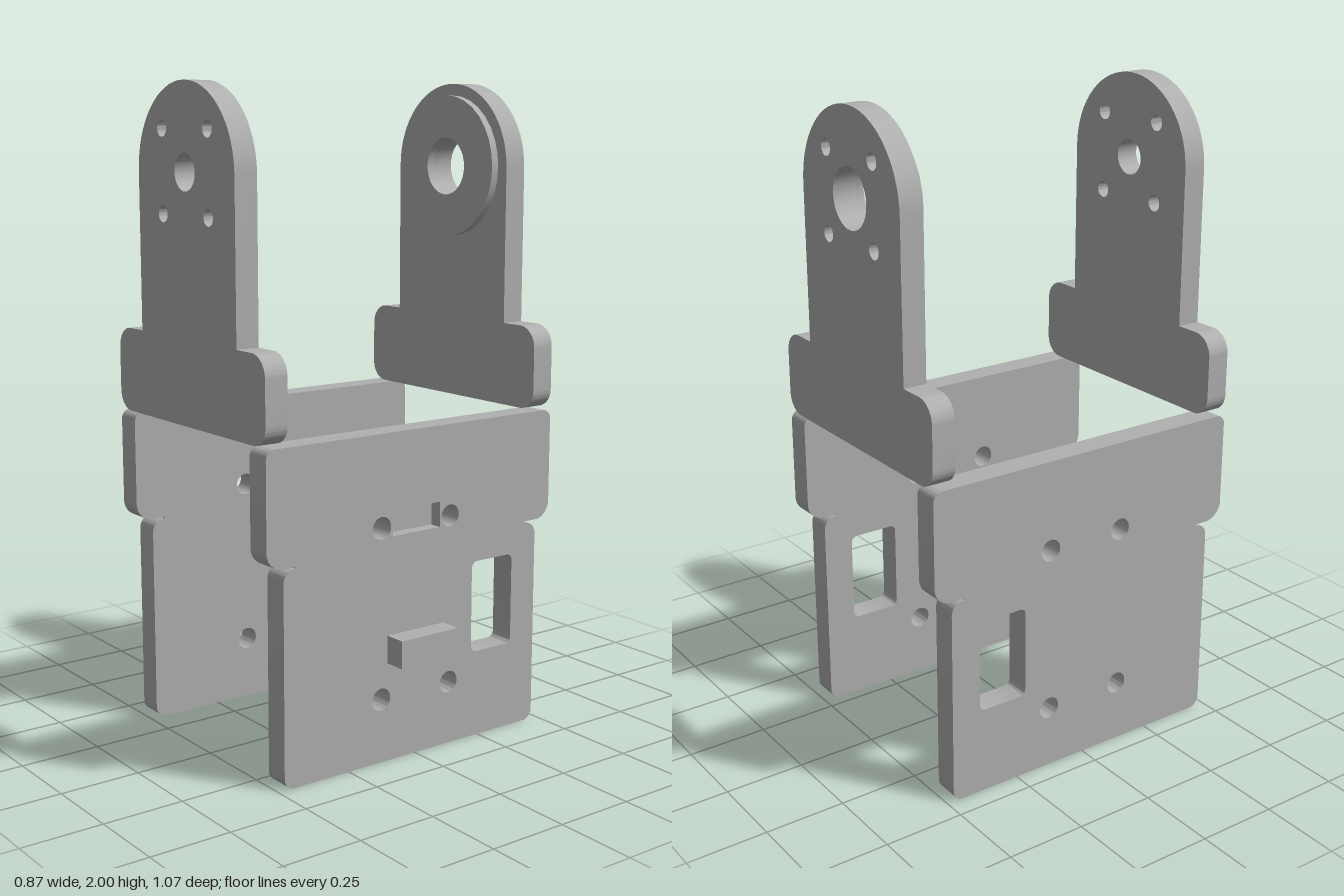
import * as THREE from 'three';
import { toCreasedNormals } from 'three/addons/utils/BufferGeometryUtils.js';

const CENTRE_X = -0.034;
const AXLE_Y = 1.742;

// Traces right-angled corners given as [x, y, radius] with rounded arcs.
function roundedOutline(path, corners) {
  const K = 0.5523;
  const n = corners.length;
  corners.forEach(([x, y, r], i) => {
    const p = new THREE.Vector2(x, y);
    const towards = (c) => new THREE.Vector2(c[0], c[1]).sub(p).normalize();
    const prev = towards(corners[(i + n - 1) % n]);
    const next = towards(corners[(i + 1) % n]);
    const a = p.clone().addScaledVector(prev, r);
    const b = p.clone().addScaledVector(next, r);
    if (i === 0) path.moveTo(a.x, a.y);
    else path.lineTo(a.x, a.y);
    if (r > 0) {
      const c1 = a.clone().lerp(p, K);
      const c2 = b.clone().lerp(p, K);
      path.bezierCurveTo(c1.x, c1.y, c2.x, c2.y, b.x, b.y);
    }
  });
  path.closePath();
  return path;
}

const rect = (x0, y0, x1, y1, r) =>
  roundedOutline(new THREE.Path(), [[x0, y0, r], [x1, y0, r], [x1, y1, r], [x0, y1, r]]);

const circle = (x, y, r) => new THREE.Path().absarc(x, y, r, 0, Math.PI * 2, true);

function extrude(shape, depth) {
  const geo = new THREE.ExtrudeGeometry(shape, { depth, bevelEnabled: false, curveSegments: 16 });
  return toCreasedNormals(geo, 0.6);
}

// Side plate outline; local x runs towards the back once turned.
function sidePlateShape() {
  const half = [
    [0.479, 0, 0.035], [0.479, 0.655, 0.04], [0.43, 0.655, 0],
    [0.535, 0.655, 0.055], [0.535, 1, 0.03],
  ];
  // The neck: the lower panel's rounded shoulder tucks under the wider band
  const right = [half[0], [0.479, 0.65, 0.04], [0.435, 0.65, 0], [0.435, 0.655, 0], half[3], half[4]];
  const left = right.map(([x, y, r]) => [-x, y, r]).reverse();
  const shape = roundedOutline(new THREE.Shape(), [...right, ...left]);
  for (const x of [-0.13, 0.13]) {
    for (const y of [0.197, 0.72]) shape.holes.push(circle(x, y, 0.034));
  }
  shape.holes.push(rect(0.22, 0.272, 0.383, 0.56, 0.02));
  return shape;
}

// Upright plate outline: wide foot, round-topped arm, axle and screw holes.
function uprightShape(axleRadius) {
  const right = [[0.4, 1.004, 0.06], [0.4, 1.262, 0.065], [0.26, 1.262, 0], [0.26, 2, 0.2599]];
  const left = right.map(([x, y, r]) => [-x, y, r]).reverse();
  const shape = roundedOutline(new THREE.Shape(), [...right, ...left]);
  shape.holes.push(circle(0, AXLE_Y, axleRadius));
  for (const sx of [-1, 1]) {
    for (const sy of [-1, 1]) shape.holes.push(circle(sx * 0.123, AXLE_Y + sy * 0.123, 0.025));
  }
  return shape;
}

export function createModel() {
  const model = new THREE.Group();
  model.name = 'bracketFrame';
  const grey = new THREE.MeshStandardMaterial({ color: 0xb0b0b0 });
  grey.name = 'grey';

  function add(name, geometry, x, y, z, turn = 0) {
    const mesh = new THREE.Mesh(geometry, grey);
    mesh.name = name;
    mesh.position.set(x, y, z);
    mesh.rotation.y = turn;
    model.add(mesh);
  }

  // Side plates; the left one has a slot
  const turn = Math.PI / 2;
  add('rightSidePlate', extrude(sidePlateShape(), 0.08), -0.434, 0, 0, turn);
  const slotted = sidePlateShape();
  slotted.holes.push(rect(-0.09, 0.69, 0.09, 0.768, 0));
  add('leftSidePlate', extrude(slotted, 0.08), 0.286, 0, 0, turn);

  // Floor of the slot, and the tab below it
  add('slotFloor', new THREE.BoxGeometry(0.04, 0.078, 0.18), 0.306, 0.729, 0);
  add('tab', new THREE.BoxGeometry(0.07, 0.085, 0.214), 0.399, 0.3475, 0);

  // Uprights
  add('frontUpright', extrude(uprightShape(0.055), 0.074), CENTRE_X, 0, 0.461);
  add('backUpright', extrude(uprightShape(0.09), 0.074), CENTRE_X, 0, -0.535);

  // Raised ring on the inner face of the back upright
  const ring = new THREE.Shape().absarc(0, AXLE_Y, 0.222, 0, Math.PI * 2, false);
  ring.holes.push(circle(0, AXLE_Y, 0.09));
  add('bearingRing', extrude(ring, 0.025), CENTRE_X, 0, -0.461);

  return model;
}
